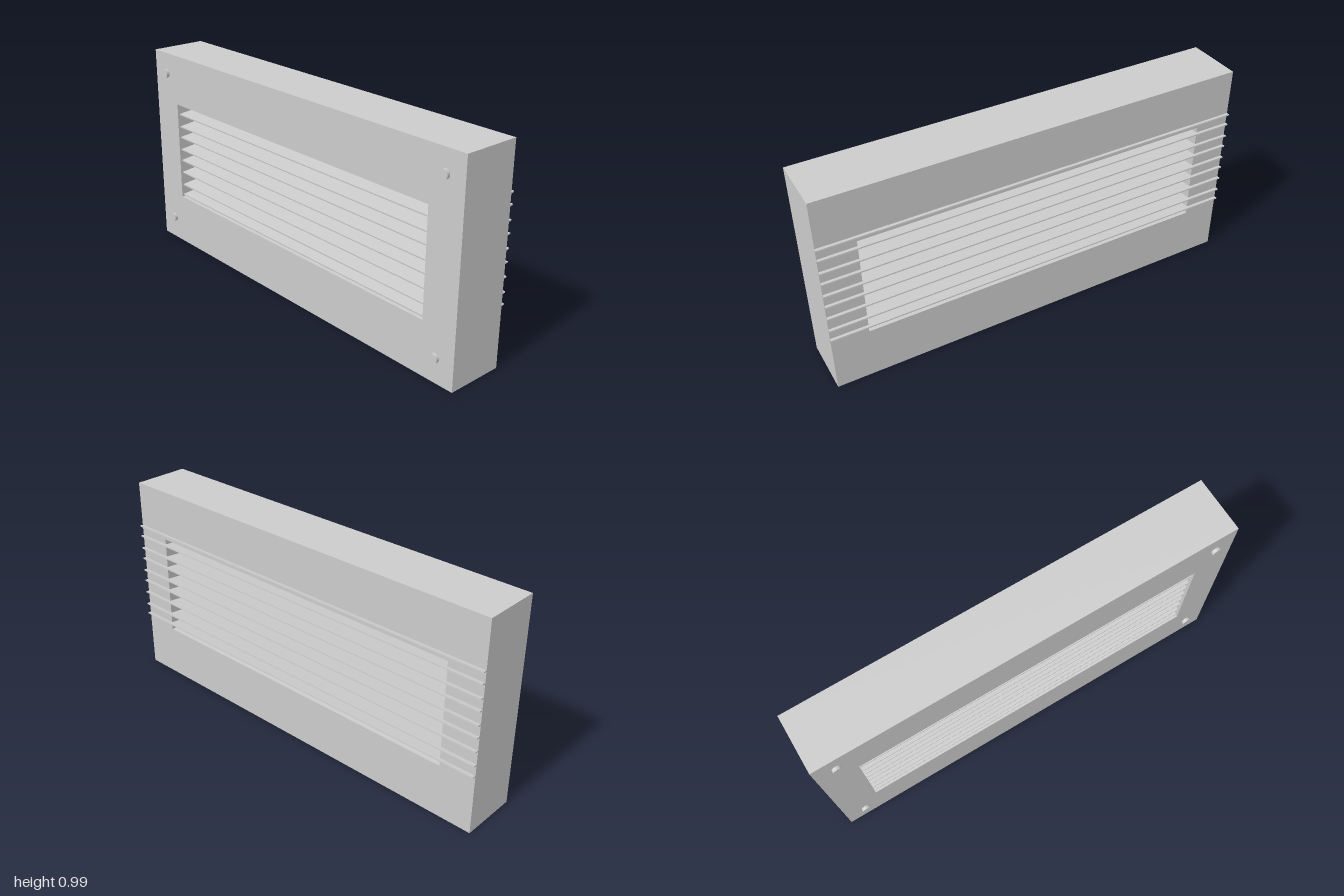
import * as THREE from 'three';

const W = 2, H = 0.985, FRONT = 0.135, BACK = -0.135;
const material = new THREE.MeshStandardMaterial({ color: 0xcccccc });

function part(name, geometry, parent) {
  const mesh = new THREE.Mesh(geometry, material);
  mesh.name = name;
  parent.add(mesh);
  return mesh;
}

// Counter-clockwise rectangle
function rectangle(Type, x0, y0, x1, y1) {
  return new Type([[x0, y0], [x1, y0], [x1, y1], [x0, y1]].map(([x, y]) => new THREE.Vector2(x, y)));
}

export function createModel() {
  const model = new THREE.Group();
  model.name = 'louvredVent';

  // Deep frame with a rectangular opening
  const outline = rectangle(THREE.Shape, -W / 2, 0, W / 2, H);
  outline.holes.push(rectangle(THREE.Path, -0.83, 0.25, 0.83, 0.74));
  const frame = new THREE.ExtrudeGeometry(outline, { depth: FRONT - BACK, bevelEnabled: false });
  frame.translate(0, 0, BACK);
  part('frame', frame, model);

  // Thin slats falling towards the front, their rear edges standing out of the back
  const slats = new THREE.Group();
  slats.name = 'slats';
  model.add(slats);
  const rear = -0.151, fore = 0.125, drop = 0.028;
  const length = Math.hypot(fore - rear, drop);
  const rearHeights = [0.287, 0.341, 0.408, 0.472, 0.53, 0.594, 0.65, 0.714, 0.767];
  for (const y of rearHeights) {
    const slat = part('slat', new THREE.BoxGeometry(W - 0.001, 0.006, length), slats);
    slat.position.set(0, y - drop / 2, (rear + fore) / 2);
    slat.rotation.x = Math.atan2(drop, fore - rear);
  }

  // Screw heads in the four corners
  const screws = new THREE.Group();
  screws.name = 'screws';
  model.add(screws);
  for (const x of [-0.905, 0.905]) {
    for (const y of [0.114, 0.884]) {
      const screw = part('screw', new THREE.CylinderGeometry(0.022, 0.02, 0.026, 24), screws);
      screw.rotation.x = Math.PI / 2;
      screw.position.set(x, y, 0.138);
    }
  }
  return model;
}
